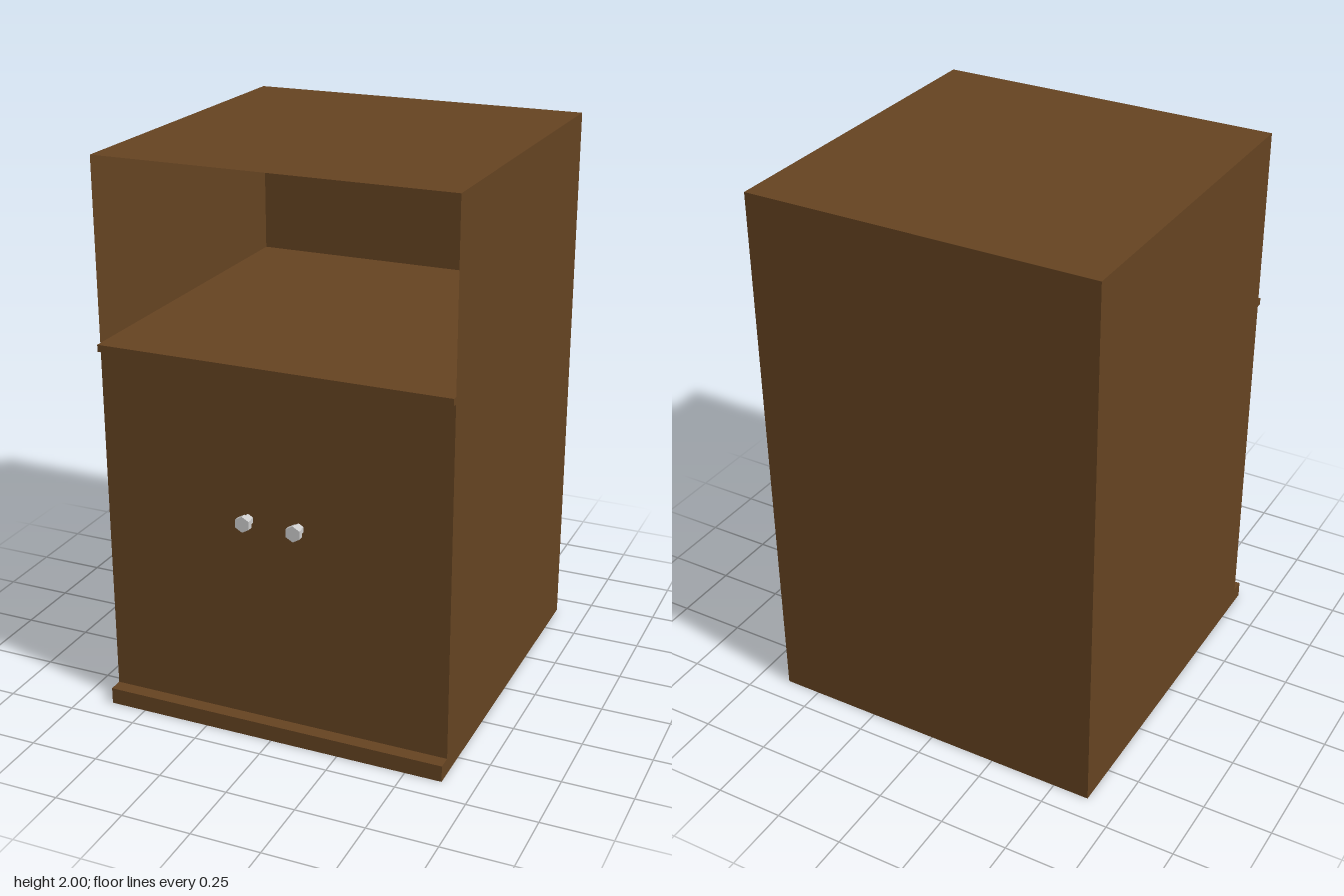
import * as THREE from 'three';

export function createModel() {
  const group = new THREE.Group();
  const wood = new THREE.MeshStandardMaterial({ color: 0x654321, side: THREE.DoubleSide, flatShading: true });
  const metal = new THREE.MeshStandardMaterial({ color: 0xcccccc, flatShading: true });

  const halfW = 0.633, back = -0.66, front = 0.61, shelfY = 1.36, plinthH = 0.06;
  const width = halfW * 2, depth = front - back, midZ = (front + back) / 2;

  function add(name, geometry, material, x, y, z, rx = 0, ry = 0, parent = group) {
    const mesh = new THREE.Mesh(geometry, material);
    mesh.name = name;
    mesh.position.set(x, y, z);
    mesh.rotation.set(rx, ry, 0);
    parent.add(mesh);
    return mesh;
  }

  // Thin carcass panels
  const deck = new THREE.PlaneGeometry(width, depth);
  add('topPanel', deck, wood, 0, 2, midZ, -Math.PI / 2);
  add('shelf', deck, wood, 0, shelfY, midZ, -Math.PI / 2);
  add('bottomPanel', deck, wood, 0, 0, midZ, Math.PI / 2);
  add('backPanel', new THREE.PlaneGeometry(width, 2), wood, 0, 1, back, 0, Math.PI);
  for (const [name, s] of [['leftSide', 1], ['rightSide', -1]]) {
    add(name, new THREE.PlaneGeometry(depth, 2), wood, s * halfW, 1, midZ, 0, s * Math.PI / 2);
  }

  // Closed front below the open niche
  add('doorPanel', new THREE.PlaneGeometry(width, shelfY), wood, 0, shelfY / 2, front);

  // Projecting shelf lip and plinth
  add('shelfLip', new THREE.BoxGeometry(width, 0.025, 0.02), wood, 0, shelfY - 0.0125, front + 0.01);
  add('plinth', new THREE.BoxGeometry(width, plinthH, 0.05), wood, 0, plinthH / 2, front + 0.025);

  // Hexagonal door knobs
  for (const [name, s] of [['leftKnob', 1], ['rightKnob', -1]]) {
    const knob = new THREE.Group();
    knob.name = name;
    knob.position.set(s * 0.093, 0.81, front);
    add('knobStem', new THREE.CylinderGeometry(0.02, 0.02, 0.03, 6), metal, 0, 0, 0.015, Math.PI / 2, 0, knob);
    add('knobHead', new THREE.CylinderGeometry(0.029, 0.029, 0.02, 6), metal, 0, 0, 0.038, Math.PI / 2, 0, knob);
    group.add(knob);
  }

  return group;
}
